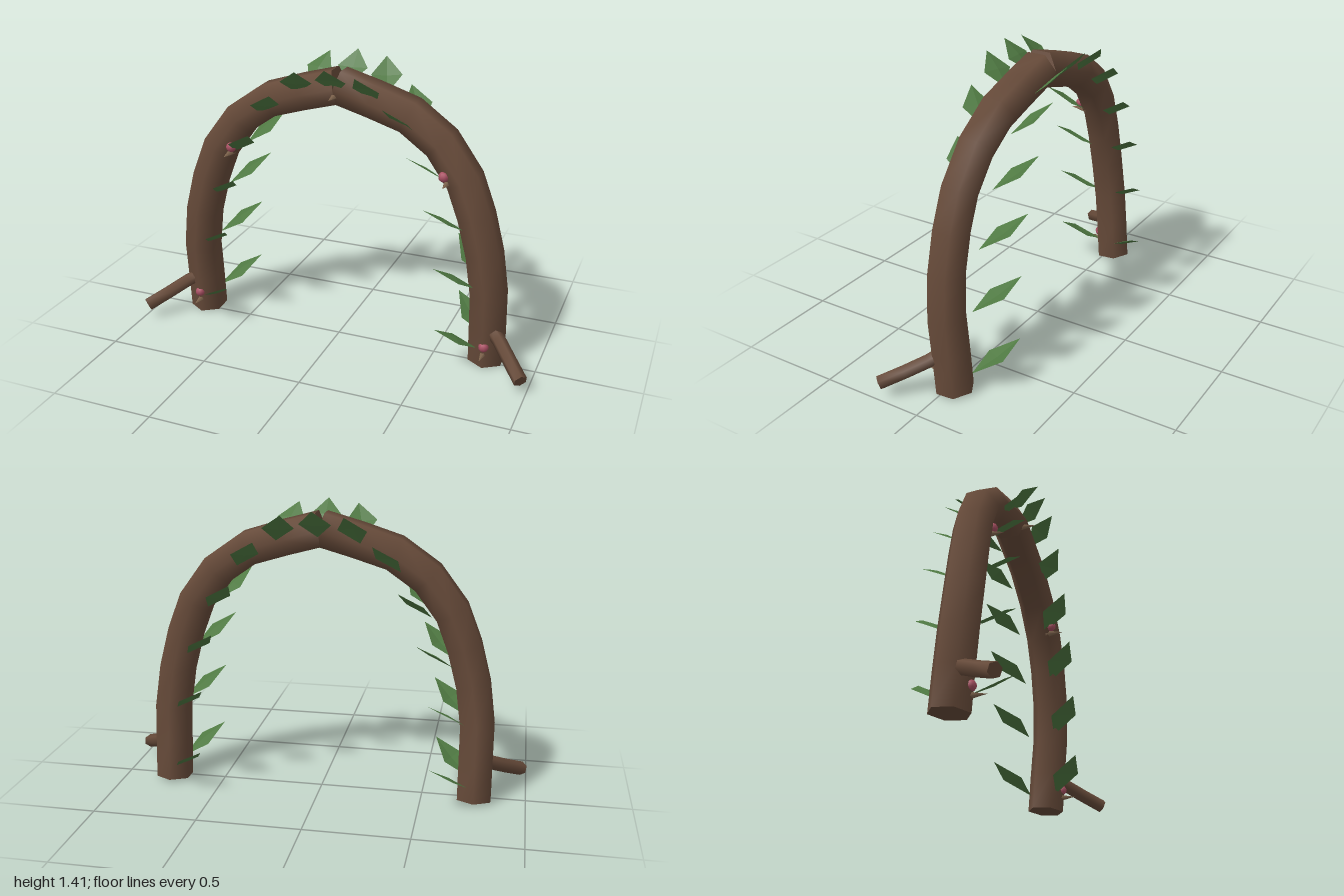
import * as THREE from 'three';
import { toCreasedNormals } from 'three/addons/utils/BufferGeometryUtils.js';

const bark = new THREE.MeshStandardMaterial({ name: 'bark brown', color: 0x664a39 });
const thornTan = new THREE.MeshStandardMaterial({ name: 'thorn tan', color: 0x7d634c });
const leafGreen = new THREE.MeshStandardMaterial({ name: 'leaf green', color: 0x4f7942, side: THREE.DoubleSide, flatShading: true });
const berryPink = new THREE.MeshStandardMaterial({ name: 'berry pink', color: 0xa84f62 });

// Closed six-sided tube lofted through a list of centres
function loft(points, radiusN, radiusB, sides = 6) {
  const P = points.map((p) => new THREE.Vector3(...p));
  const pos = [], idx = [];
  const last = P.length - 1;
  P.forEach((p, i) => {
    const T = P[Math.min(i + 1, last)].clone().sub(P[Math.max(i - 1, 0)]).normalize();
    const B = new THREE.Vector3(0, 0, 1).addScaledVector(T, -T.z).normalize();
    const N = B.clone().cross(T);
    for (let j = 0; j < sides; j++) {
      const a = ((j + 0.5) / sides) * Math.PI * 2;
      const v = p.clone().addScaledVector(N, Math.cos(a) * radiusN).addScaledVector(B, Math.sin(a) * radiusB);
      pos.push(v.x, v.y, v.z);
    }
  });
  const start = pos.length / 3, end = start + 1;
  pos.push(...P[0].toArray(), ...P[last].toArray());
  for (let j = 0; j < sides; j++) {
    const k = (j + 1) % sides;
    for (let i = 0; i < last; i++) {
      const a = i * sides, b = a + sides;
      idx.push(a + j, a + k, b + k, a + j, b + k, b + j);
    }
    idx.push(start, k, j, end, last * sides + j, last * sides + k);
  }
  const g = new THREE.BufferGeometry();
  g.setAttribute('position', new THREE.Float32BufferAttribute(pos, 3));
  g.setIndex(idx);
  return toCreasedNormals(g, 1.2);
}

// Diamond leaf, slightly dished, from its two half diagonals
function leafGeometry(a, b) {
  const n = a.clone().cross(b).normalize().multiplyScalar(0.008);
  const ring = [a, b, a.clone().negate(), b.clone().negate()];
  const pos = [];
  ring.forEach((p, i) => pos.push(...n.toArray(), ...p.toArray(), ...ring[(i + 1) % 4].toArray()));
  const g = new THREE.BufferGeometry();
  g.setAttribute('position', new THREE.Float32BufferAttribute(pos, 3));
  g.computeVertexNormals();
  return g;
}

export function createModel() {
  const model = new THREE.Group();
  model.name = 'vineArch';
  const add = (name, geometry, material, x = 0, y = 0, z = 0) => {
    const m = new THREE.Mesh(geometry, material);
    m.name = name;
    m.position.set(x, y, z);
    model.add(m);
    return m;
  };

  // Half of the arch, from the foot to the crown
  const trunkPath = [
    [0.755, 0.004, -0.03], [0.755, 0.19, -0.016], [0.755, 0.37, 0], [0.728, 0.57, 0.011], [0.68, 0.755, 0.012],
    [0.617, 0.92, 0.008], [0.5, 1.08, 0], [0.345, 1.19, -0.005], [0.17, 1.245, -0.006], [0, 1.292, -0.006],
  ];
  const branchPath = [[0.775, 0.19, 0.01], [0.83, 0.16, 0.055], [0.9, 0.115, 0.135], [0.975, 0.07, 0.222]];

  // Leaf centres with the amount each one turns inwards
  const leaves = [
    [0.634, 0.155, 1], [0.618, 0.467, 1], [0.558, 0.747, 0.97], [0.458, 0.985, 0.83],
    [0.327, 1.19, 0.65], [0.17, 1.315, 0.3], [0, 1.337, 0],
  ];

  const thorn = new THREE.ConeGeometry(0.02, 0.09, 5).rotateX(Math.PI / 2);
  const berry = new THREE.SphereGeometry(0.025, 10, 8);

  for (const s of [1, -1]) {
    const side = s > 0 ? 'left' : 'right';
    const flip = (path) => path.map(([x, y, z]) => [s * x, y, z]);
    add(side + 'Trunk', loft(flip(trunkPath), 0.092, 0.092), bark);
    add(side + 'Branch', loft(flip(branchPath), 0.034, 0.034), bark);

    // Leaf rows before and behind the trunk
    leaves.forEach(([x, y, turn]) => {
      if (x === 0 && s < 0) return;
      for (const f of [1, -1]) {
        const a = new THREE.Vector3(-s * 0.087 * turn, 0.07, f * 0.073);
        const t = turn * 1.13;
        const b = new THREE.Vector3(s * 0.075 * Math.cos(t), 0.008 * turn, f * 0.064 * Math.sin(t));
        add(side + (f > 0 ? 'FrontLeaf' : 'BackLeaf'), leafGeometry(a, b), leafGreen, s * x, y, f > 0 ? 0.108 : -0.173);
      }
    });

    // Berries and thorns on the trunk
    add(side + 'LowerThorn', thorn, thornTan, s * 0.755, 0.07, 0.08);
    add(side + 'LowerBerry', berry, berryPink, s * 0.758, 0.11, 0.057);
    add(side + 'UpperThorn', thorn, thornTan, s * 0.545, 0.91, 0.085);
    add(side + 'UpperBerry', berry, berryPink, s * 0.533, 0.945, 0.07);
  }

  // Berry and thorn at the crown
  add('crownThorn', thorn, thornTan, 0, 1.255, 0.085);
  add('crownBerry', berry, berryPink, 0, 1.29, 0.042);
  return model;
}
